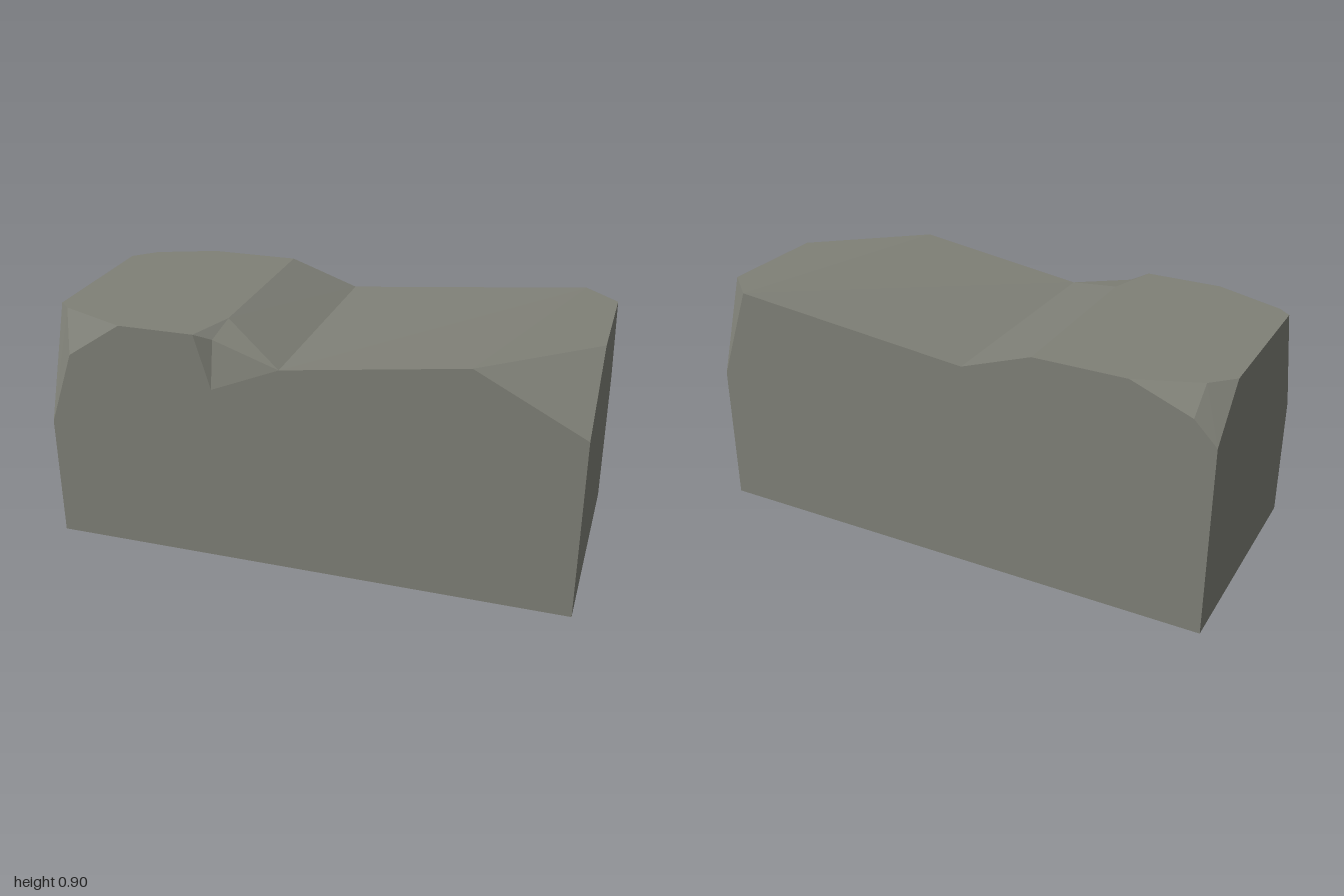
import * as THREE from 'three';

const W = 1, D = 0.453, H = 0.905;

// Corner points of the block; f = front, b = back, L = +x side, R = -x side
const P = {
  fR0: [-W, 0, D], fL0: [W, 0, D], bL0: [W, 0, -D], bR0: [-W, 0, -D],
  // front left chip
  fLa: [0.6, H, D], fLb: [W, H, 0.12], fLc: [W, 0.695, D],
  // back left chip
  bLa: [0.87, H, -D], bLb: [W, H, -0.33], bLc: [W, 0.545, -D],
  // front right chip, two facets
  fRa: [-0.69, H, D], fRb: [-0.955, H, 0.342], fRc: [-W, H, 0.3], fRd: [-W, 0.48, D], fRe: [-0.9, 0.765, D],
  // back right chip, two facets
  bRa: [-0.69, H, -D], bRb: [-0.92, H, -0.365], bRc: [-W, H, -0.285], bRd: [-W, 0.73, -D], bRe: [-0.915, 0.816, -D],
  // groove across the top and the notch at its front end
  gTop: [-0.34, H, -D], gBack: [-0.07, 0.81, -D], gFront: [-0.08, 0.81, D],
  nTop: [-0.4, H, D], nBack: [-0.34, H, 0.265], nMid: [-0.34, 0.88, 0.42], nLow: [-0.34, 0.7, D],
};

const PARTS = {
  frontWall: ['fR0 fL0 fLc fLa gFront nLow nTop fRa fRe fRd'],
  backWall: ['bR0 bL0 bLc bLa gBack gTop bRa bRe bRd'],
  leftWall: ['fL0 bL0 bLc bLb fLb fLc'],
  rightWall: ['fR0 bR0 bRd bRc fRc fRd'],
  base: ['fR0 fL0 bL0 bR0'],
  topSurface: ['fRa nTop nBack gTop bRa bRb bRc fRc fRb', 'fLa fLb bLb bLa'],
  groove: ['nBack gFront gBack gTop', 'gFront fLa bLa', 'gFront bLa gBack'],
  frontNotch: ['nTop nMid nBack', 'nBack nMid gFront', 'nTop nLow nMid', 'nMid nLow gFront'],
  frontLeftChip: ['fLa fLc fLb'],
  backLeftChip: ['bLa bLb bLc'],
  frontRightChip: ['fRa fRb fRe', 'fRb fRc fRd', 'fRb fRd fRe'],
  backRightChip: ['bRa bRb bRe', 'bRb bRc bRd', 'bRb bRd bRe'],
};

// Triangulate one facet, turned to face away from the block's middle
function addFacet(out, names) {
  const pts = names.split(' ').map((n) => new THREE.Vector3(...P[n]));
  const normal = new THREE.Vector3();
  const centre = new THREE.Vector3();
  pts.forEach((p, i) => {
    normal.add(p.clone().cross(pts[(i + 1) % pts.length]));
    centre.addScaledVector(p, 1 / pts.length);
  });
  centre.y -= 0.3;
  if (normal.dot(centre) < 0) normal.negate();
  normal.normalize();
  const u = new THREE.Vector3(0, 1, 0);
  if (Math.abs(normal.y) > 0.9) u.set(1, 0, 0);
  u.cross(normal).normalize();
  const v = normal.clone().cross(u);
  let flat = pts.map((p) => new THREE.Vector2(p.dot(u), p.dot(v)));
  if (THREE.ShapeUtils.isClockWise(flat)) {
    pts.reverse();
    flat.reverse();
  }
  for (const tri of THREE.ShapeUtils.triangulateShape(flat, [])) {
    const [a, b, c] = tri.map((i) => pts[i]);
    const n = b.clone().sub(a).cross(c.clone().sub(a));
    const order = n.dot(normal) < 0 ? [a, c, b] : [a, b, c];
    order.forEach((p) => out.push(p.x, p.y, p.z));
  }
}

export function createModel() {
  const stone = new THREE.MeshStandardMaterial({ color: 0x7f8077 });
  stone.name = 'stone';
  const group = new THREE.Group();
  group.name = 'stoneBlock';
  for (const [name, facets] of Object.entries(PARTS)) {
    const positions = [];
    facets.forEach((f) => addFacet(positions, f));
    const geometry = new THREE.BufferGeometry();
    geometry.setAttribute('position', new THREE.Float32BufferAttribute(positions, 3));
    geometry.computeVertexNormals();
    const mesh = new THREE.Mesh(geometry, stone);
    mesh.name = name;
    group.add(mesh);
  }
  return group;
}
